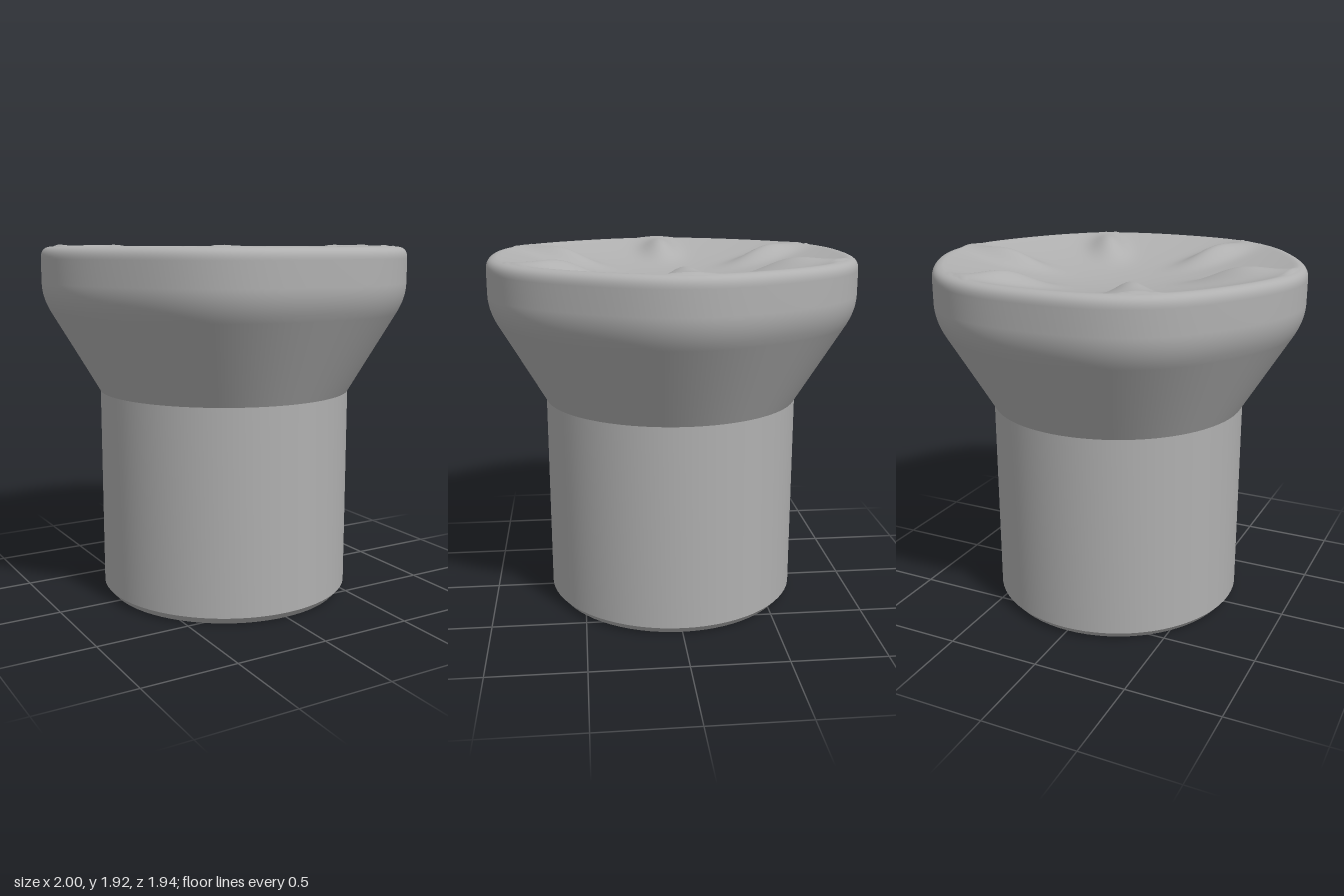
import * as THREE from 'three';
import { mergeVertices, toCreasedNormals } from 'three/addons/utils/BufferGeometryUtils.js';

const TOP = 1.905;      // rim height
const NECK = 1.13;      // where the stem meets the head
const RIM = 0.94;       // radius at which the dished face begins
const DISH = 0.13;      // depth of the dish at its centre
const LOBES = 6;

const v = (x, y) => new THREE.Vector2(x, y);

// Head outline: cone, rounded shoulder, side wall, rounded rim, then the face to the axis
function headProfile() {
  const path = new THREE.Path();
  path.moveTo(0.685, NECK);
  path.lineTo(0.95, 1.56);
  path.quadraticCurveTo(1, 1.64, 1, 1.72);
  path.lineTo(1, 1.845);
  path.quadraticCurveTo(1, TOP, RIM, TOP);
  const points = path.getPoints(10);
  const rings = 48;
  for (let i = 1; i <= rings; i++) points.push(v(RIM * (1 - i / rings), TOP));
  return points;
}

// Six soft lobes around the side, a shallow dish and six radial ridges on the face
function shapeHead(geometry) {
  const p = geometry.attributes.position;
  for (let i = 0; i < p.count; i++) {
    const x = p.getX(i), y = p.getY(i), z = p.getZ(i);
    const r = Math.hypot(x, z);
    const angle = Math.atan2(z, x);
    const weight = THREE.MathUtils.clamp((y - NECK) / 0.45, 0, 1);
    const k = 1 + 0.0145 * weight * (Math.cos(LOBES * angle) - 1);
    let height = y;
    if (y > TOP - 1e-4 && r < RIM) {
      const step = (Math.PI * 2) / LOBES;
      const off = angle - Math.round(angle / step) * step;
      const along = (r * Math.cos(off) - 0.67) / 0.14;
      const across = (r * Math.sin(off)) / 0.065;
      height -= DISH * (1 - (r / RIM) ** 2);
      height += 0.066 * Math.exp(-0.5 * (along * along + across * across));
    }
    p.setXYZ(i, x * k, height, z * k);
  }
}

export function createModel() {
  const group = new THREE.Group();
  group.name = 'knob';
  const grey = new THREE.MeshStandardMaterial({ color: 0xb0b0b0 });
  grey.name = 'grey';

  // Stem with chamfered foot and blind bore
  const stemProfile = [
    v(0, 1.2), v(0.355, 1.2), v(0.355, 0.035), v(0.39, 0),
    v(0.65, 0), v(0.685, 0.04), v(0.685, NECK),
  ];
  const stem = new THREE.Mesh(toCreasedNormals(new THREE.LatheGeometry(stemProfile, 72), 0.5), grey);
  stem.name = 'stem';
  group.add(stem);

  // Flared head, welded so that the seam stays smooth
  let headGeometry = new THREE.LatheGeometry(headProfile(), 192);
  shapeHead(headGeometry);
  headGeometry.deleteAttribute('uv');
  headGeometry.deleteAttribute('normal');
  headGeometry = mergeVertices(headGeometry, 1e-4);
  headGeometry.computeVertexNormals();
  const head = new THREE.Mesh(headGeometry, grey);
  head.name = 'head';
  group.add(head);

  return group;
}
